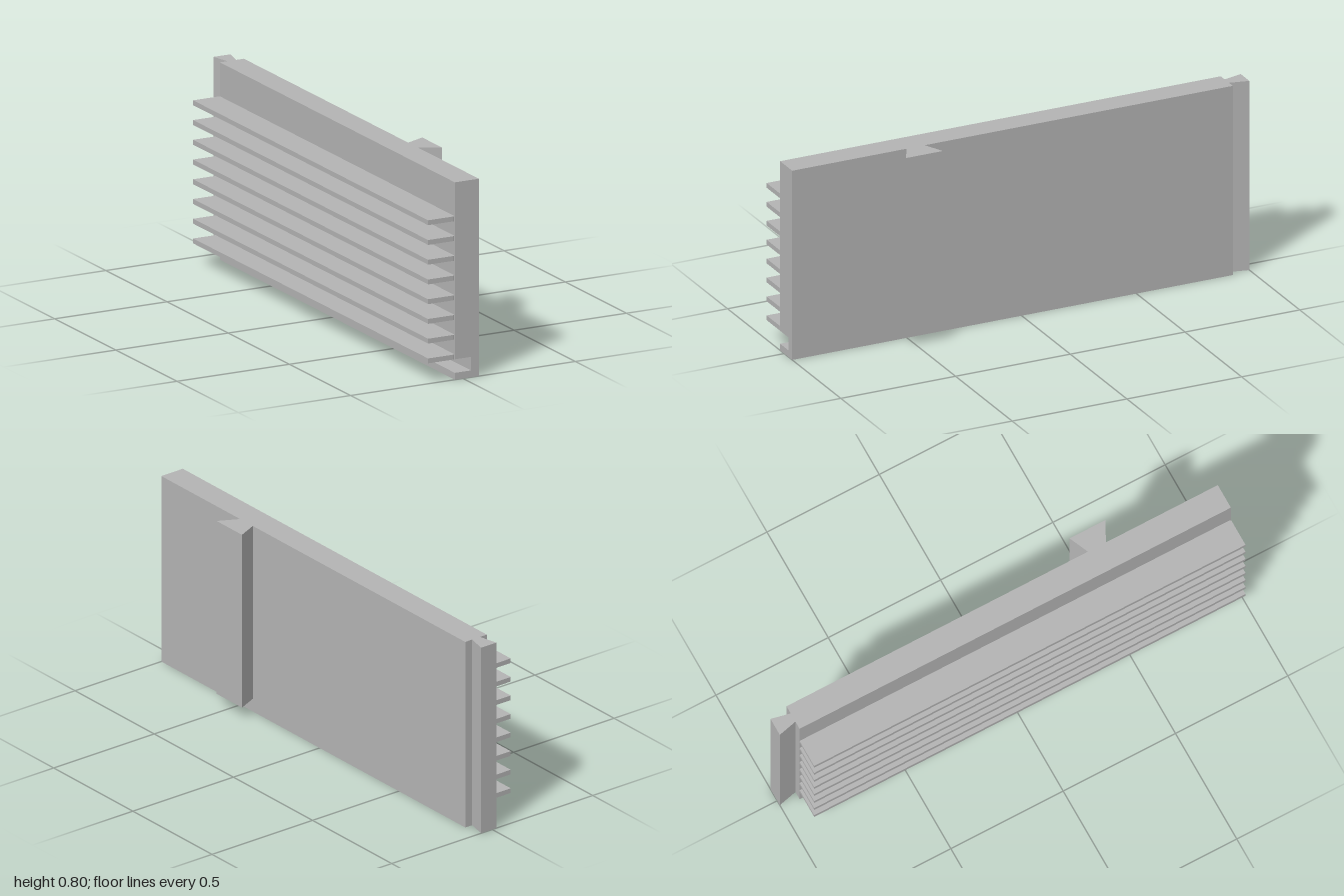
import * as THREE from 'three';

const metal = new THREE.MeshStandardMaterial({ color: 0xb4b4b4 });
metal.name = 'plain grey metal';

function shapeFrom(points) {
  return new THREE.Shape(points.map(([x, y]) => new THREE.Vector2(x, y)));
}

function part(name, geometry) {
  const mesh = new THREE.Mesh(geometry, metal);
  mesh.name = name;
  return mesh;
}

// Raises a floor plan, given as [x, z] points, from height y0 to y1.
function upright(name, plan, y0, y1) {
  const shape = shapeFrom(plan.map(([x, z]) => [x, -z]));
  const geometry = new THREE.ExtrudeGeometry(shape, { depth: y1 - y0, bevelEnabled: false });
  geometry.rotateX(-Math.PI / 2).translate(0, y0, 0);
  return part(name, geometry);
}

export function createModel() {
  const model = new THREE.Group();
  model.name = 'finnedPanel';

  const height = 0.803;
  const inner = -0.036, outer = 0.071;
  const back = -0.92, front = 1, slotEnd = -0.84;

  // Panel section with a slot low on the finned side, open at the front
  const section = shapeFrom([
    [inner, 0], [outer, 0], [outer, height], [inner, height],
    [inner, 0.083], [0.036, 0.083], [0.036, 0.028], [inner, 0.028],
  ]);
  const panel = new THREE.ExtrudeGeometry(section, { depth: front - slotEnd, bevelEnabled: false });
  panel.translate(0, 0, slotEnd);
  model.add(part('panel', panel));

  // Solid end that closes the slot
  model.add(upright('panelEnd',
    [[inner, back], [inner, slotEnd], [outer, slotEnd], [outer, back]], 0, height));

  // Dovetail rails on the back edge and on the plain side
  model.add(upright('backRail',
    [[-0.021, -1], [-0.002, back], [0.037, back], [0.055, -1]], 0, height));
  model.add(upright('sideRail',
    [[outer, 0.422], [outer, 0.502], [0.154, 0.545], [0.154, 0.385]], 0.055, height));

  // Cooling fins, with the ends eased where they meet the panel
  const tip = -0.155, ease = 0.006;
  const finPlan = [
    [tip, back], [tip, front], [inner - ease, front], [inner - ease * 0.3, front - ease * 0.3],
    [inner, front - ease], [inner, back],
  ];
  for (let i = 0; i < 8; i++) {
    const y = 0.083 + i * 0.0803;
    model.add(upright('fin' + (i + 1), finPlan, y, y + 0.02));
  }
  return model;
}
